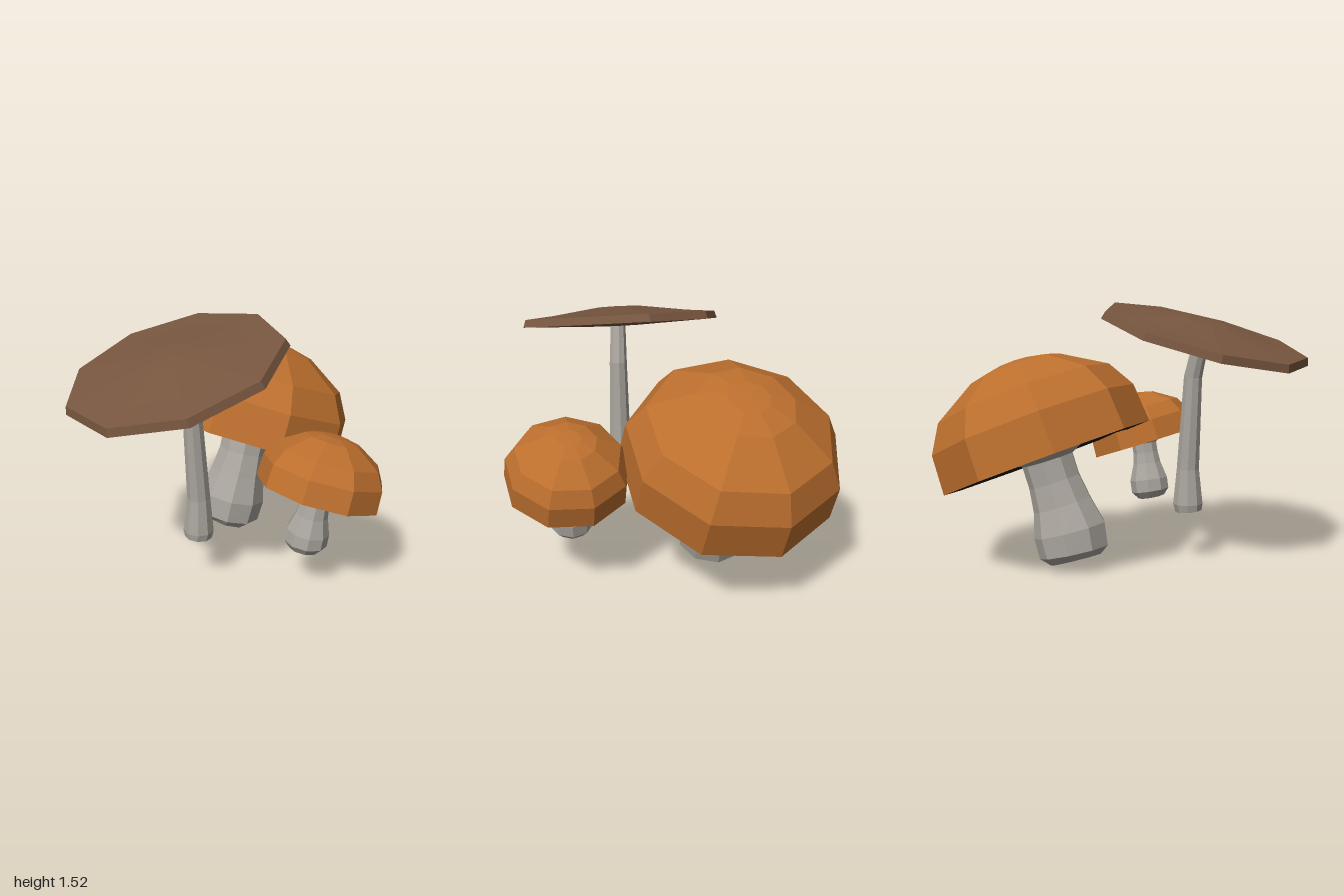
import * as THREE from 'three';

const SIDES = 9;
const UP = new THREE.Vector3(0, 1, 0);

function paint(name, color) {
  const m = new THREE.MeshStandardMaterial({ color });
  m.name = name;
  return m;
}

// Give every face its own normal for the low-poly look
function faceted(geometry) {
  const g = geometry.index ? geometry.toNonIndexed() : geometry;
  g.computeVertexNormals();
  return g;
}

function part(name, geometry, material) {
  const mesh = new THREE.Mesh(faceted(geometry), material);
  mesh.name = name;
  return mesh;
}

// Turned shape; turn is the angle of the first corner from +x towards +z
function turned(profile, turn) {
  const pts = profile.map(([r, h]) => new THREE.Vector2(r, h));
  return new THREE.LatheGeometry(pts, SIDES, Math.PI / 2 - THREE.MathUtils.degToRad(turn));
}

// Cap with a separate underside, tilted along its axis
function makeCap({ centre, axis, profile, under, turn }, topMat, underMat) {
  const cap = new THREE.Group();
  cap.name = 'cap';
  cap.add(part('capTop', turned(profile, turn), topMat));
  cap.add(part('capUnderside', turned([...under, profile[0]], turn), underMat));
  cap.position.set(...centre);
  cap.quaternion.setFromUnitVectors(UP, new THREE.Vector3(...axis).normalize());
  return cap;
}

// Bent stem: each ring is [x, y, z, radius], from the foot upwards
function makeStem(rings, material) {
  const last = rings.length - 1;
  const centres = rings.map(([x, y, z]) => new THREE.Vector3(x, y, z));
  const turns = centres.map((c, i) => {
    const dir = centres[Math.min(i + 1, last)].clone().sub(centres[Math.max(i - 1, 0)]);
    return new THREE.Quaternion().setFromUnitVectors(UP, dir.normalize());
  });
  const g = new THREE.CylinderGeometry(1, 1, 1, SIDES, last);
  const p = g.attributes.position;
  const v = new THREE.Vector3();
  for (let k = 0; k < p.count; k++) {
    const i = Math.round((p.getY(k) + 0.5) * last);
    v.set(p.getX(k), 0, p.getZ(k)).multiplyScalar(rings[i][3]);
    v.applyQuaternion(turns[i]).add(centres[i]);
    p.setXYZ(k, v.x, v.y, v.z);
  }
  return part('stem', g, material);
}

export function createModel() {
  const orange = paint('orangeCap', 0xbc6f2e);
  const brown = paint('brownCap', 0x77563f);
  const black = paint('blackUnderside', 0x1b1918);
  const grey = paint('greyStem', 0xa9a49d);

  const dome = [[0.625, 0], [0.612, 0.23], [0.52, 0.39], [0.27, 0.545], [0.12, 0.58], [0, 0.585]];
  const smallDome = dome.map(([r, h]) => [r * 0.568, h * 0.57]);

  const mushrooms = [
    {
      name: 'largeMushroom', top: orange, under: black,
      cap: {
        centre: [0.35, 0.635, -0.298], axis: [0.375, 0.927, -0.02], turn: -6.5,
        profile: dome, under: [[0, 0.05], [0.3, 0.045]],
      },
      stem: [
        [0.166, 0.052, -0.295, 0.152], [0.181, 0.097, -0.29, 0.206], [0.212, 0.22, -0.284, 0.215],
        [0.262, 0.365, -0.283, 0.175], [0.31, 0.5, -0.288, 0.155], [0.35, 0.625, -0.295, 0.155],
        [0.366, 0.675, -0.297, 0.262],
      ],
    },
    {
      name: 'smallMushroom', top: orange, under: black,
      cap: {
        centre: [0.135, 0.615, 0.58], axis: [0.325, 0.946, 0], turn: 30,
        profile: smallDome, under: [[0, 0.035], [0.17, 0.03]],
      },
      stem: [
        [0.07, 0.262, 0.555, 0.086], [0.079, 0.305, 0.555, 0.124], [0.092, 0.378, 0.558, 0.124],
        [0.11, 0.48, 0.568, 0.092], [0.123, 0.55, 0.574, 0.082], [0.135, 0.61, 0.577, 0.082],
        [0.144, 0.643, 0.579, 0.145],
      ],
    },
    {
      name: 'tallMushroom', top: brown, under: brown,
      cap: {
        centre: [-0.452, 1.32, 0.088], axis: [-0.28, 0.96, -0.045], turn: 0,
        profile: [[0.607, 0], [0.592, 0.043], [0.42, 0.058], [0.13, 0.096], [0, 0.1]],
        under: [[0, -0.018], [0.125, -0.018]],
      },
      stem: [
        [-0.36, 0.305, 0.125, 0.078], [-0.355, 0.35, 0.125, 0.088], [-0.352, 0.56, 0.127, 0.066],
        [-0.38, 1.1, 0.12, 0.053], [-0.435, 1.31, 0.1, 0.045], [-0.445, 1.34, 0.095, 0.045],
      ],
    },
  ];

  const model = new THREE.Group();
  model.name = 'mushrooms';
  for (const m of mushrooms) {
    const group = new THREE.Group();
    group.name = m.name;
    group.add(makeCap(m.cap, m.top, m.under), makeStem(m.stem, grey));
    model.add(group);
  }
  return model;
}
